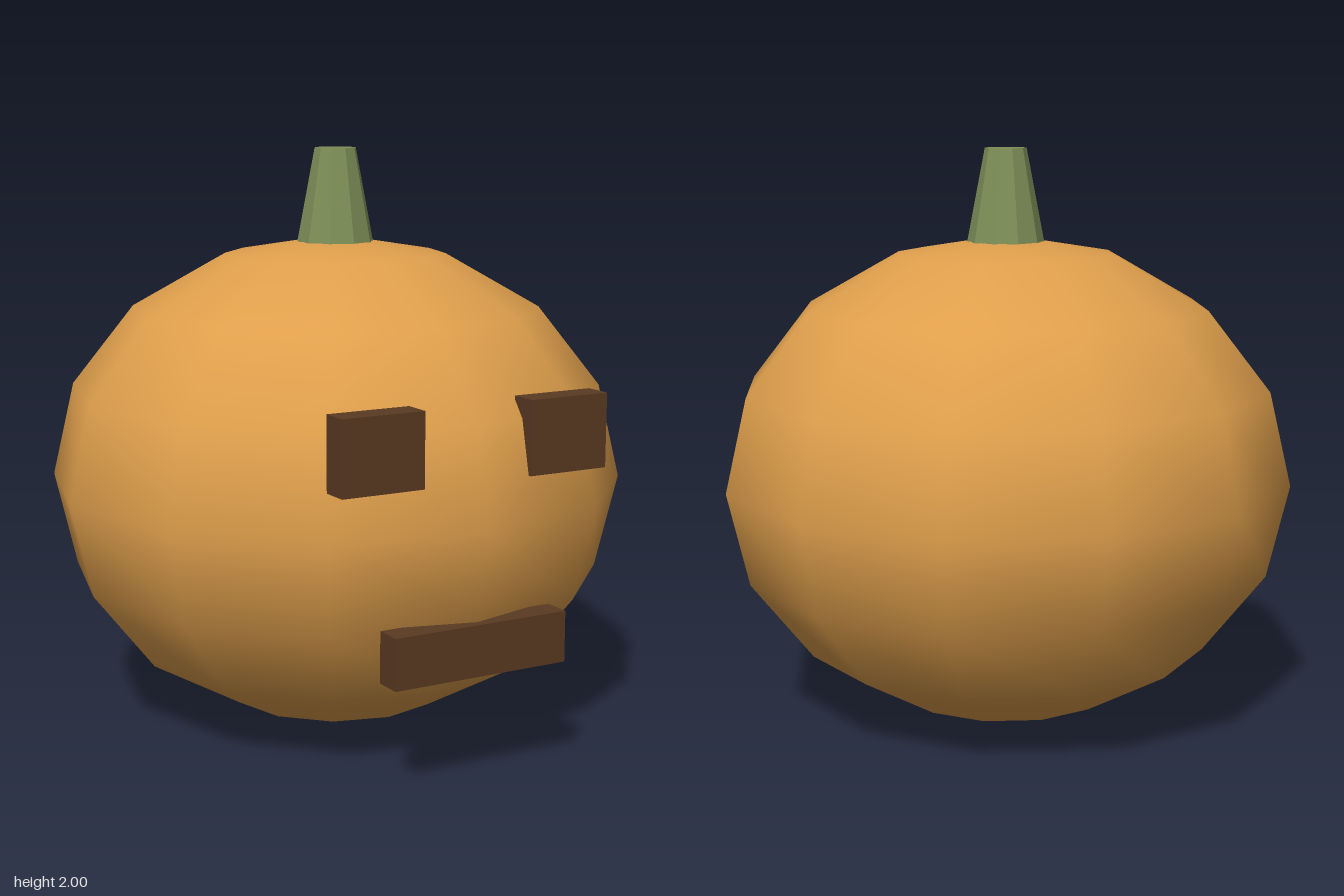
import * as THREE from 'three';

export function createModel() {
  const group = new THREE.Group();
  const skin = new THREE.MeshStandardMaterial({ color: 0xdf9f4c });
  const green = new THREE.MeshStandardMaterial({ color: 0x7d8f58, flatShading: true });
  const dark = new THREE.MeshStandardMaterial({ color: 0x5a3a22 });

  const add = (name, geometry, material, x, y, z) => {
    const mesh = new THREE.Mesh(geometry, material);
    mesh.name = name;
    mesh.position.set(x, y, z);
    group.add(mesh);
    return mesh;
  };

  // Squashed low-poly body with smooth normals
  add('body', new THREE.SphereGeometry(1, 12, 8), skin, 0, 0.852, 0).scale.y = 0.85;

  // Tapered, faceted stem
  add('stem', new THREE.CylinderGeometry(0.072, 0.134, 0.325, 10), green, 0, 1.8375, 0);

  // Block face
  for (const [name, side] of [['leftEye', 1], ['rightEye', -1]]) {
    add(name, new THREE.BoxGeometry(0.29, 0.245, 0.097), dark, side * 0.342, 1.122, 0.877);
  }
  add('mouth', new THREE.BoxGeometry(0.635, 0.17, 0.095), dark, 0, 0.465, 0.913);

  return group;
}
